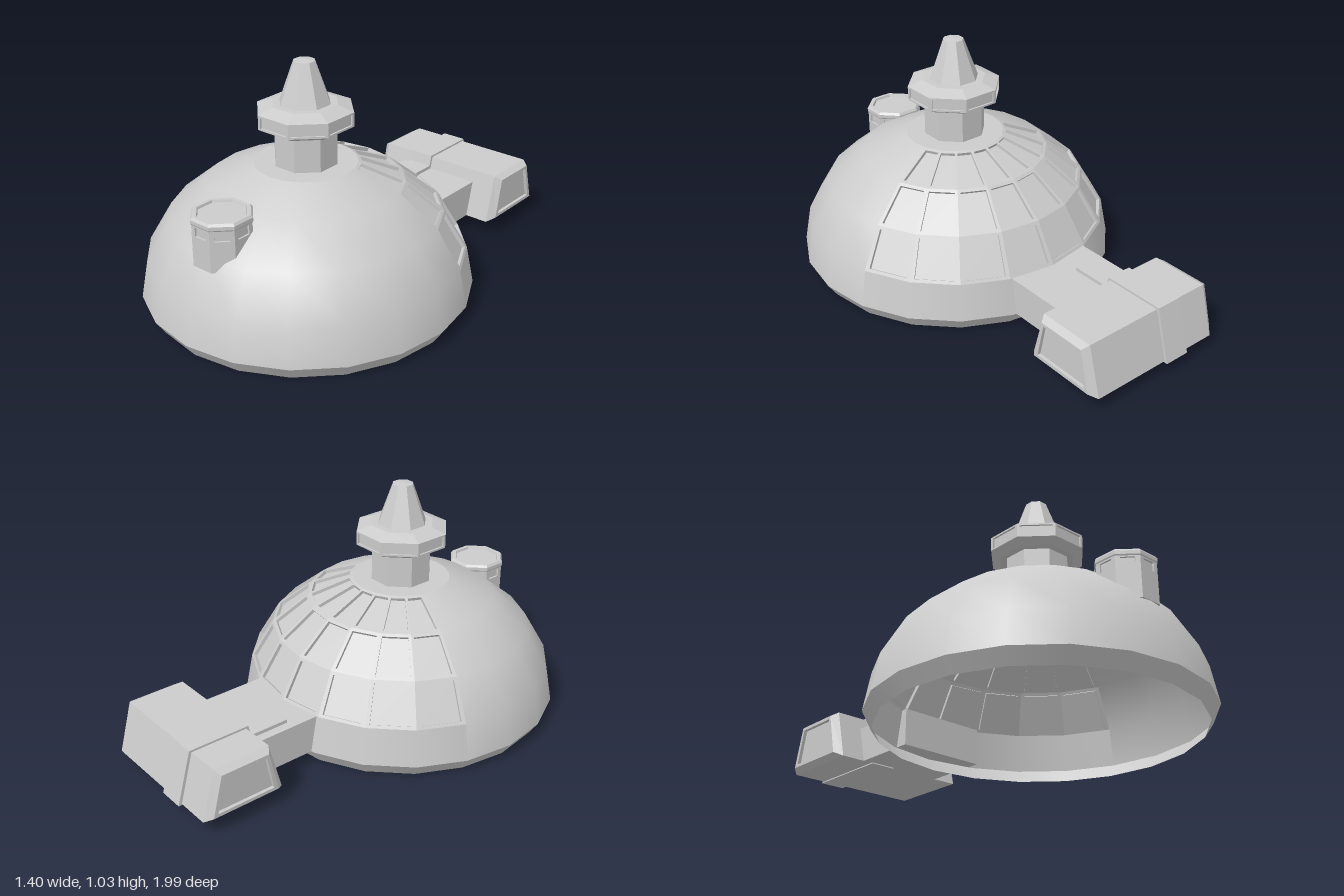
import * as THREE from 'three';

const grey = (flat) => new THREE.MeshStandardMaterial({ color: 0xcccccc, flatShading: flat, side: THREE.DoubleSide });
const V = (x, y, z) => new THREE.Vector3(x, y, z);
const CZ = 0.29; // z of the dome axis

function add(group, name, geometry, flat = true) {
  const mesh = new THREE.Mesh(geometry, grey(flat));
  mesh.name = name;
  group.add(mesh);
  return mesh;
}

function quad(out, a, b, c, d) {
  for (const p of [a, b, c, a, c, d]) out.push(p.x, p.y, p.z);
}

function toGeometry(out) {
  const g = new THREE.BufferGeometry();
  g.setAttribute('position', new THREE.Float32BufferAttribute(out, 3));
  g.computeVertexNormals();
  return g;
}

// A quad with a sunken pane: frame, four short walls and the pane itself
function paneCell(out, c, mu, mv, depth) {
  const at = (u, v) => c[0].clone().lerp(c[1], u).lerp(c[3].clone().lerp(c[2], u), v);
  const n = c[2].clone().sub(c[0]).cross(c[3].clone().sub(c[1])).normalize();
  const rim = [at(mu, mv), at(1 - mu, mv), at(1 - mu, 1 - mv), at(mu, 1 - mv)];
  const low = rim.map((p) => p.clone().addScaledVector(n, -depth));
  for (let i = 0; i < 4; i++) {
    const j = (i + 1) % 4;
    quad(out, c[i], c[j], rim[j], rim[i]);
    quad(out, rim[i], rim[j], low[j], low[i]);
  }
  quad(out, ...low);
}

const polar = (r, y, phi) => V(r * Math.sin(phi), y, r * Math.cos(phi));

// Cells around an axis between two profile points [r, y]
function ringCells(out, lower, upper, start, step, count, mu, mv, depth) {
  for (let i = 0; i < count; i++) {
    const p = start + i * step, q = p + step;
    paneCell(out, [polar(...lower, p), polar(...lower, q), polar(...upper, q), polar(...upper, p)], mu, mv, depth);
  }
}

// Eight-sided turned part; radii are measured to the flats
const OCT = 1 / Math.cos(Math.PI / 8);
function octagonal(points) {
  return new THREE.LatheGeometry(points.map(([r, y]) => new THREE.Vector2(r * OCT, y)), 8, Math.PI / 8);
}
function octagonPanes(lower, upper, mu, mv, depth) {
  const out = [];
  ringCells(out, [lower[0] * OCT, lower[1]], [upper[0] * OCT, upper[1]], Math.PI / 8, Math.PI / 4, 8, mu, mv, depth);
  return toGeometry(out);
}

// Loft of [z, y] four-point sections along x, with sunken or flat ends
function loft(sections, mu, mv, depth) {
  const out = [];
  const rings = sections.map(({ x, pts }) => pts.map(([z, y]) => V(x, y, z)));
  for (let s = 0; s < rings.length - 1; s++) {
    for (let i = 0; i < 4; i++) {
      const j = (i + 1) % 4;
      quad(out, rings[s][i], rings[s][j], rings[s + 1][j], rings[s + 1][i]);
    }
  }
  const f = rings[0];
  paneCell(out, [f[1], f[0], f[3], f[2]], mu, mv, depth);
  paneCell(out, rings[rings.length - 1], mu, mv, depth);
  return toGeometry(out);
}

export function createModel() {
  const model = new THREE.Group();

  // Dome, open below, with a glazed sector at the back
  const dome = new THREE.Group();
  dome.name = 'dome';
  dome.position.z = CZ;
  model.add(dome);
  const profile = [[0.70, 0.06], [0.67, 0.22], [0.57, 0.39], [0.41, 0.52], [0.215, 0.60]];
  const pts = profile.map(([r, y]) => new THREE.Vector2(r, y));
  const step = Math.PI / 10;
  add(dome, 'domeShell', new THREE.LatheGeometry(pts, 12, 14 * step, 12 * step), false);
  add(dome, 'domeBackSkirt', new THREE.LatheGeometry(pts.slice(0, 2), 8, 6 * step, 8 * step), false);
  add(dome, 'domeRim', new THREE.LatheGeometry([new THREE.Vector2(0.66, 0), pts[0]], 20), false);
  const cap = add(dome, 'domeCap', new THREE.CircleGeometry(0.215, 20));
  cap.rotation.x = -Math.PI / 2;
  cap.position.y = 0.60;
  const panes = [];
  for (let row = 1; row < 4; row++) {
    ringCells(panes, profile[row], profile[row + 1], 6 * step, step, 8, 0.085, 0.07, 0.015);
  }
  add(dome, 'domeWindows', toGeometry(panes));

  // Tower on top of the dome
  const tower = new THREE.Group();
  tower.name = 'tower';
  tower.position.z = CZ;
  model.add(tower);
  add(tower, 'towerShaft', octagonal([[0.125, 0.58], [0.125, 0.75]]));
  add(tower, 'galleryFloor', octagonal([[0.0, 0.75], [0.15, 0.75], [0.19, 0.772]]));
  add(tower, 'galleryWindows', octagonPanes([0.19, 0.772], [0.19, 0.833], 0.07, 0.13, 0.008));
  add(tower, 'galleryRoof', octagonal([[0.19, 0.833], [0.13, 0.855], [0.0, 0.855]]));
  add(tower, 'spire', octagonal([[0.10, 0.855], [0.042, 1.03], [0.0, 1.035]]));

  // Small turret set into the front of the dome
  const turret = new THREE.Group();
  turret.name = 'turret';
  turret.position.z = 0.77;
  model.add(turret);
  add(turret, 'turretBody', octagonal([[0, 0.35], [0.115, 0.35], [0.115, 0.475]]));
  add(turret, 'turretWindows', octagonPanes([0.115, 0.475], [0.115, 0.525], 0.2, 0.12, 0.008));
  add(turret, 'turretLid', octagonal([[0.115, 0.525], [0.118, 0.53], [0.118, 0.545], [0.11, 0.555], [0.095, 0.555], [0.092, 0.545], [0, 0.545]]));

  // Corridor from the dome to the rear block
  const corridor = add(model, 'corridor', new THREE.BoxGeometry(0.4, 0.16, 0.36));
  corridor.position.set(0, 0.14, -0.5);
  const strip = add(model, 'corridorStrip', new THREE.BoxGeometry(0.115, 0.03, 0.21));
  strip.position.set(-0.1025, 0.22, -0.575);

  // Rear block: trapezoid section, bevelled ends with sunken panels
  const full = [[-0.615, 0.06], [-0.985, 0.06], [-0.925, 0.275], [-0.67, 0.275]];
  const small = [[-0.65, 0.078], [-0.955, 0.078], [-0.908, 0.257], [-0.69, 0.257]];
  add(model, 'rearBlock', loft([
    { x: -0.34, pts: small }, { x: -0.31, pts: full },
    { x: 0.31, pts: full }, { x: 0.34, pts: small },
  ], 0.06, 0.08, 0.015));

  // Band wrapped around the rear block
  const band = [[-0.605, 0.055], [-1.0, 0.055], [-0.935, 0.284], [-0.66, 0.284]];
  add(model, 'rearBand', loft([{ x: -0.16, pts: band }, { x: -0.045, pts: band }], 0.1, 0.1, 0));

  return model;
}
